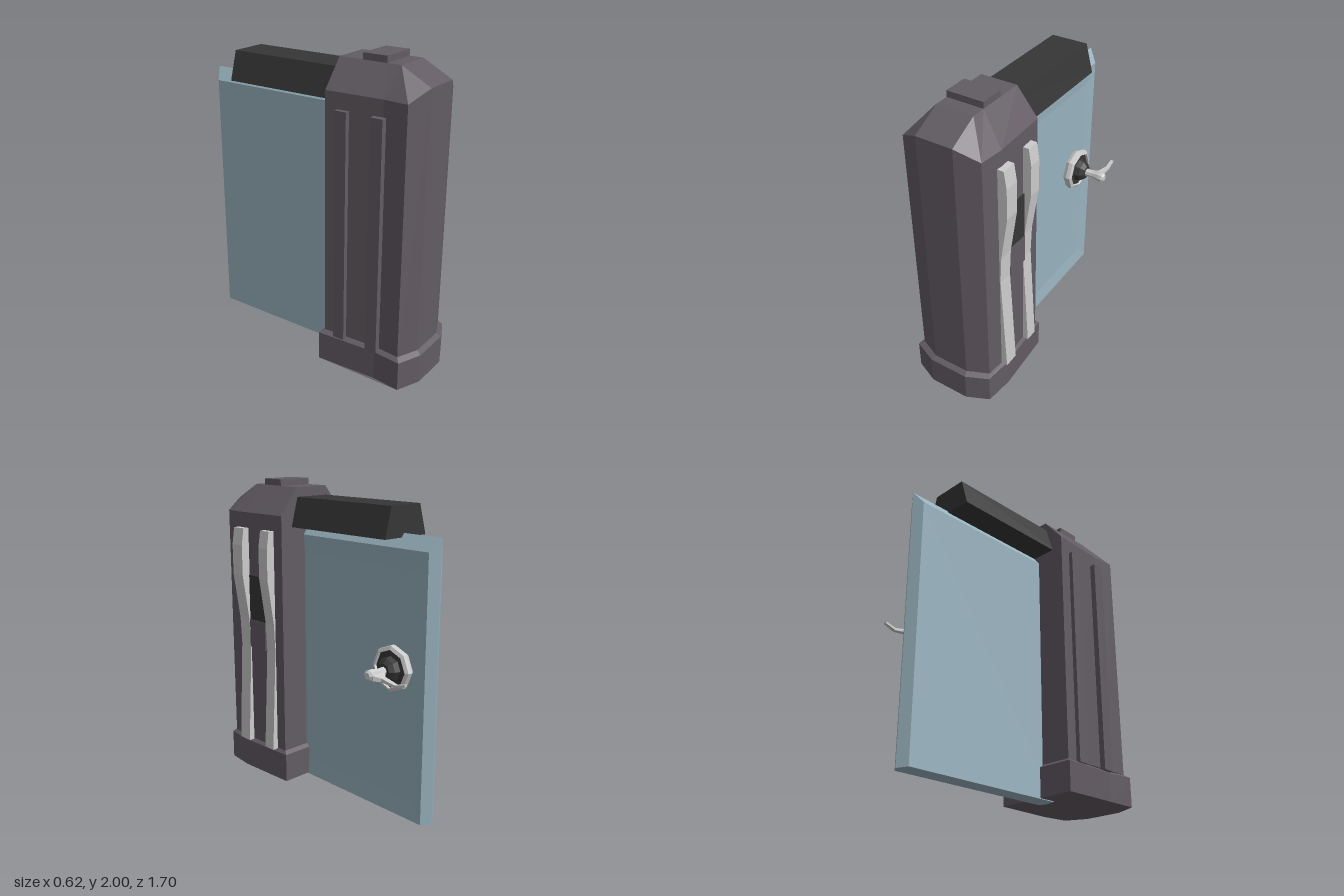
import * as THREE from 'three';

const mat = (color) => new THREE.MeshStandardMaterial({ color, flatShading: true });

// Joins rings of [x, y, z] corners (counter-clockwise seen from the last ring) and caps both ends.
function loft(rings) {
  const pos = [];
  const tri = (...corners) => corners.forEach((c) => pos.push(...c));
  const n = rings[0].length;
  for (let r = 0; r < rings.length - 1; r++) {
    for (let i = 0; i < n; i++) {
      const j = (i + 1) % n;
      const [a, b, c, d] = [rings[r][i], rings[r][j], rings[r + 1][j], rings[r + 1][i]];
      tri(a, b, c);
      tri(a, c, d);
    }
  }
  const first = rings[0], last = rings[rings.length - 1];
  for (let i = 1; i < n - 1; i++) {
    tri(first[0], first[i + 1], first[i]);
    tri(last[0], last[i], last[i + 1]);
  }
  const geo = new THREE.BufferGeometry();
  geo.setAttribute('position', new THREE.Float32BufferAttribute(pos, 3));
  geo.computeVertexNormals();
  return geo;
}

export function createModel() {
  const model = new THREE.Group();
  const stone = mat(0x625b63), glass = mat(0x98b2be), black = mat(0x363636), grey = mat(0xcccccc);

  const add = (name, geo, material, parent = model) => {
    const mesh = new THREE.Mesh(geo, material);
    mesh.name = name;
    parent.add(mesh);
    return mesh;
  };
  const box = (name, material, x0, x1, y0, y1, z0, z1) => {
    const geo = new THREE.BoxGeometry(x1 - x0, y1 - y0, z1 - z0);
    return add(name, geo.translate((x0 + x1) / 2, (y0 + y1) / 2, (z0 + z1) / 2), material);
  };

  // Plans as [x, z] corners, with slightly bowed sides and a chamfered front
  const bodyPlan = [[-0.28, 0.22], [-0.265, 0.6], [-0.28, 0.76], [-0.14, 0.82],
    [0.1, 0.82], [0.235, 0.76], [0.25, 0.6], [0.235, 0.22]];
  const basePlan = [[-0.31, 0.195], [-0.29, 0.6], [-0.31, 0.785], [-0.155, 0.85],
    [0.11, 0.85], [0.25, 0.785], [0.27, 0.6], [0.25, 0.195]];
  const topPlan = [[-0.14, 0.22], [-0.14, 0.54], [-0.14, 0.63], [-0.14, 0.63],
    [0.1, 0.63], [0.1, 0.63], [0.1, 0.54], [0.1, 0.22]];
  const atHeight = (plan, y, frontY = y) =>
    plan.map(([x, z], i) => [x, i === 3 || i === 4 ? frontY : y, z]);

  // Pillar with sloping shoulders, on a wider base
  add('pillar', loft([atHeight(bodyPlan, 0.1), atHeight(bodyPlan, 1.79, 1.86), atHeight(topPlan, 1.96)]), stone);
  add('base', loft([atHeight(basePlan, 0.01), atHeight(basePlan, 0.2), atHeight(bodyPlan, 0.22)]), stone);
  box('topCap', stone, -0.14, 0.1, 1.95, 2, 0.38, 0.54);

  // Curved rails on the model's left side
  const rail = new THREE.Shape([[0.2, 0.215], [0.288, 0.215], [0.252, 0.9], [0.26, 1.08], [0.305, 1.38],
    [0.305, 1.58], [0.288, 1.69], [0.2, 1.69]].map(([x, y]) => new THREE.Vector2(x, y)));
  for (const [z, width, shift] of [[0.54, 0.1, 0], [0.295, 0.085, -0.01]]) {
    add('curvedRail', new THREE.ExtrudeGeometry(rail, { depth: width, bevelEnabled: false }), grey)
      .position.set(shift, 0, z);
  }

  // Straight rails on the other side
  for (const [z0, z1] of [[0.54, 0.62], [0.3, 0.38]]) {
    box('straightRail', stone, -0.305, -0.24, 0.21, 1.69, z0, z1);
  }

  // Panel between the curved rails
  box('panelScreen', black, 0.2, 0.252, 1.08, 1.38, 0.38, 0.54);
  box('panelBox', stone, 0.2, 0.256, 0.89, 1.08, 0.38, 0.54);

  // Overhead arm, narrower at the top
  const armRing = (z) => [[-0.2, 1.715, z], [0.15, 1.715, z], [0.1, 1.9, z], [-0.145, 1.9, z]];
  add('overheadArm', loft([armRing(-0.575), armRing(0.3)]), black);

  // Door with bevelled edges and a shallow recess on the handle side
  const doorRing = (x, y0, y1, back, front = 0.31) =>
    [[x, y0, front], [x, y0, back], [x, y1, back], [x, y1, front]];
  add('door', loft([
    doorRing(-0.07, 0.005, 1.66, -0.81),
    doorRing(-0.01, 0, 1.74, -0.85),
    doorRing(0.05, 0.005, 1.66, -0.81),
    doorRing(0.04, 0.12, 1.54, -0.72, 0.2),
  ]), glass);

  // Eight-sided handle plate and stem, turned about the x axis
  const handle = new THREE.Group();
  handle.name = 'doorHandle';
  model.add(handle);
  const turned = (name, profile, material) => {
    const geo = new THREE.LatheGeometry(profile.map(([r, x]) => new THREE.Vector2(r, x)), 8);
    add(name, geo.rotateZ(-Math.PI / 2).translate(0, 0.95, -0.58), material, handle);
  };
  turned('plateRim', [[0.13, 0.035], [0.145, 0.065], [0.142, 0.09], [0.12, 0.1], [0.115, 0.08]], grey);
  turned('plateCentre', [[0.12, 0.085], [0.08, 0.09], [0.07, 0.125], [0.045, 0.15], [0, 0.15]], black);
  turned('handleStem', [[0.028, 0.13], [0.024, 0.2], [0.034, 0.25], [0.034, 0.275], [0.02, 0.288], [0, 0.288]], grey);

  // Lever sections: z, half width, y, half height
  const leverRings = [[-0.56, 0.055, 0.945, 0.018], [-0.615, 0.05, 0.94, 0.016], [-0.65, 0.02, 0.932, 0.011],
    [-0.75, 0.013, 0.915, 0.008], [-0.82, 0.01, 0.937, 0.006]].map(([z, w, y, h]) =>
    [[1, -1], [-1, -1], [-1, 1], [1, 1]].map(([sx, sy]) => [0.225 + sx * w, y + sy * h, z]));
  add('handleLever', loft(leverRings), grey, handle);

  return model;
}
